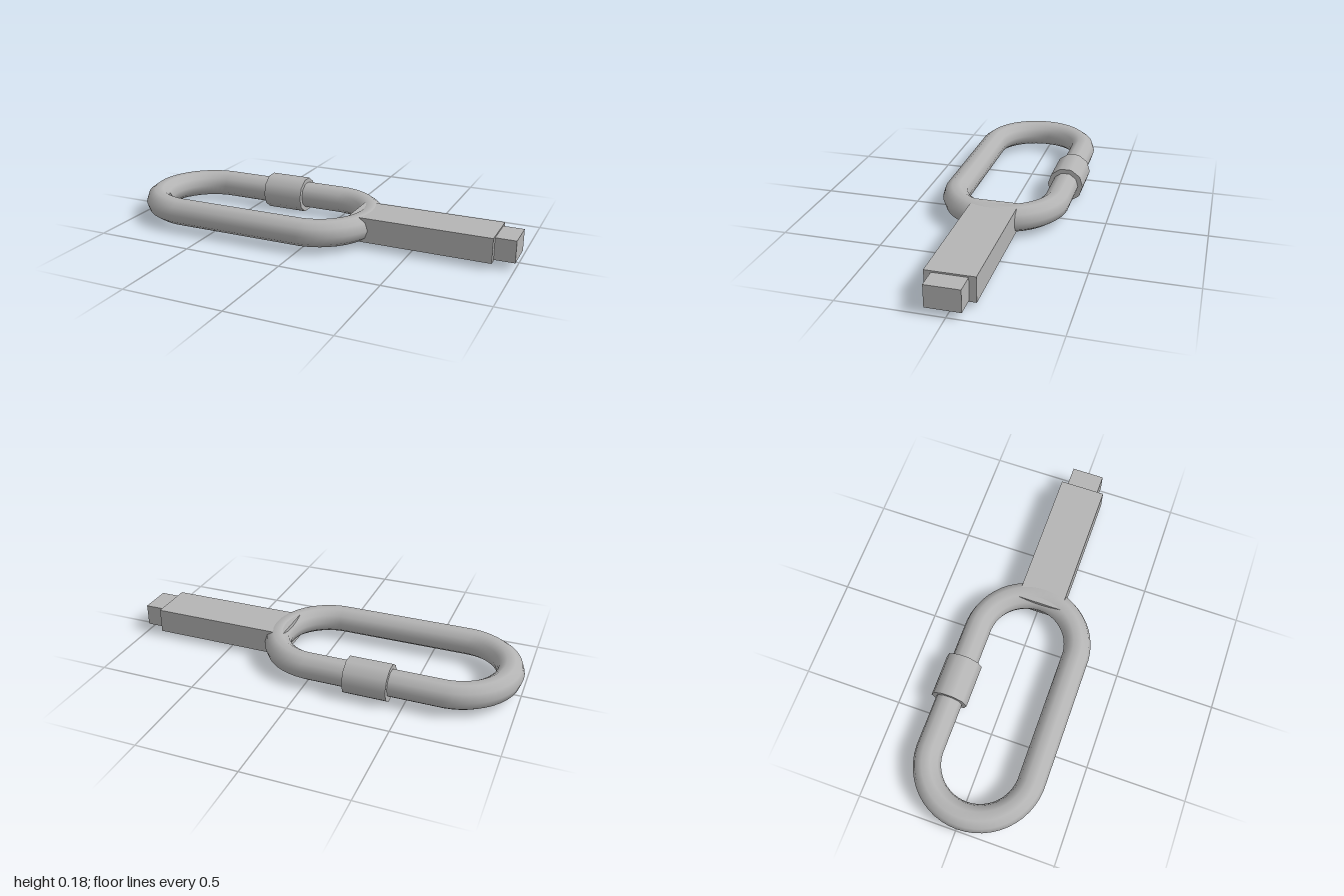
import * as THREE from 'three';

export function createModel() {
  const group = new THREE.Group();
  const steel = new THREE.MeshStandardMaterial({ color: 0xb4b4b4 });
  steel.name = 'steelGrey';

  const midY = 0.089, midZ = 0.0125;
  const bendRadius = 0.26, halfStraight = 0.328;

  const add = (name, geometry, x, y, z) => {
    const mesh = new THREE.Mesh(geometry, steel);
    mesh.name = name;
    mesh.position.set(x, y, z);
    group.add(mesh);
    return mesh;
  };

  // Oval link: a torus pulled apart along x, giving two straight bars.
  // 50 segments put a quad (not a vertex ring) at the split on each side.
  const link = new THREE.TorusGeometry(bendRadius, 0.068, 10, 50);
  const pos = link.attributes.position;
  for (let i = 0; i < pos.count; i++) {
    pos.setX(i, pos.getX(i) + Math.sign(pos.getX(i)) * halfStraight);
  }
  link.rotateX(-Math.PI / 2);
  add('link', link, -0.344, midY + 0.001, midZ);

  // Locking sleeve around the rear bar, with a corner pointing to the back
  const sleeve = new THREE.CylinderGeometry(0.0925, 0.0925, 0.215, 10);
  sleeve.rotateZ(Math.PI / 2);
  add('sleeve', sleeve, -0.318, midY, midZ - bendRadius);

  // Shank and its narrower end, from x0 to x1
  const bar = (name, x0, x1, height, depth) =>
    add(name, new THREE.BoxGeometry(x1 - x0, height, depth), (x0 + x1) / 2, midY + 0.001, midZ);
  bar('shank', 0.19, 0.9, 0.124, 0.231);
  bar('shankTip', 0.9, 1, 0.109, 0.165);

  return group;
}
